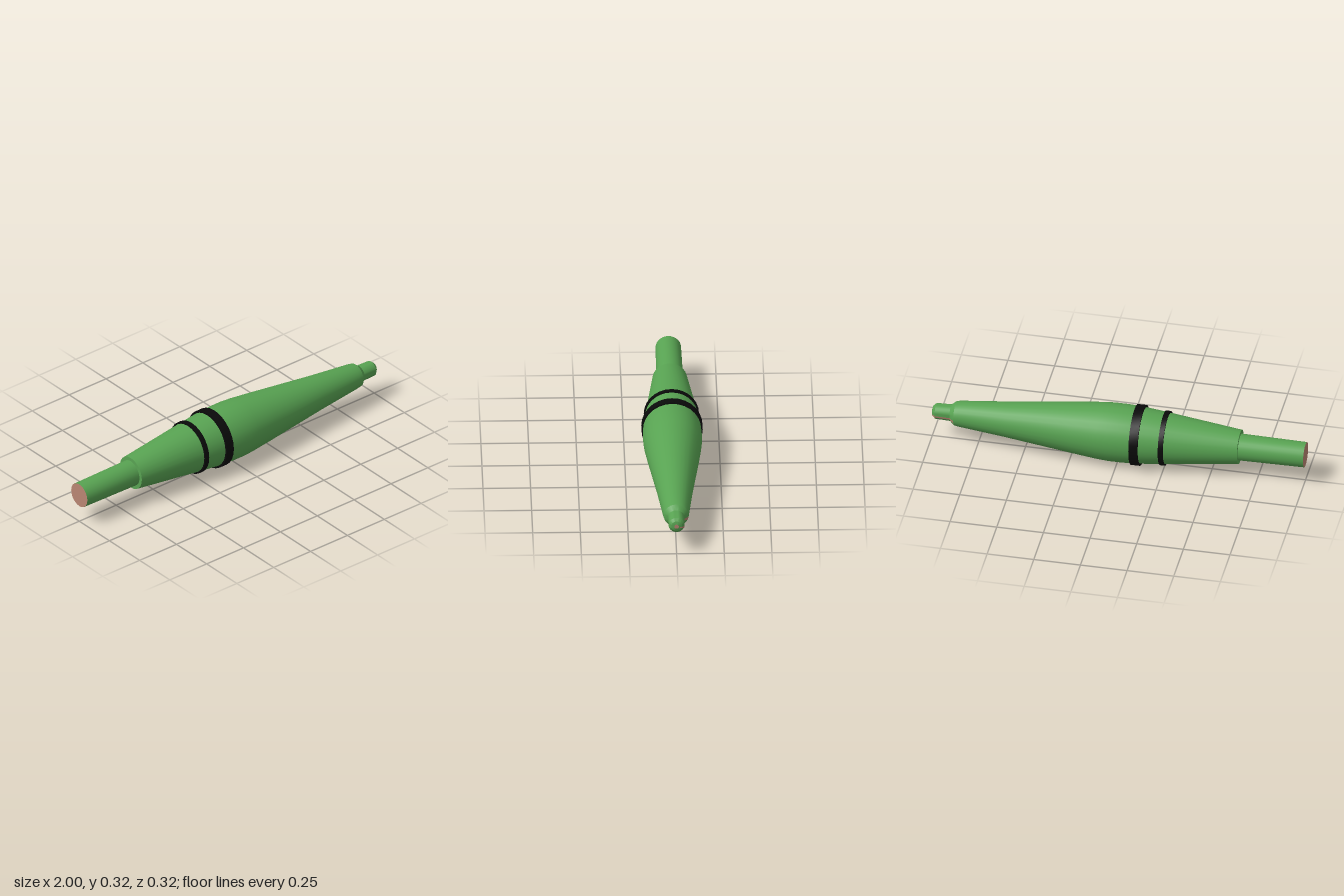
import * as THREE from 'three';
import { toCreasedNormals } from 'three/addons/utils/BufferGeometryUtils.js';

const SIDES = 28;
const AXIS_Y = 0.163;

const paint = (color) => new THREE.MeshStandardMaterial({ color });

export function createModel() {
  const group = new THREE.Group();
  const green = paint(0x58a352);
  const black = paint(0x0a0a0a);
  const copper = paint(0xb98572);

  // Turns a profile of [x, radius] pairs around the long axis
  function turned(name, profile, material, start = 0, arc = Math.PI * 2, sides = SIDES) {
    const points = profile.map(([x, r]) => new THREE.Vector2(r, x));
    const geometry = toCreasedNormals(new THREE.LatheGeometry(points, sides, start, arc), 0.5);
    geometry.rotateZ(-Math.PI / 2);
    const mesh = new THREE.Mesh(geometry, material);
    mesh.name = name;
    mesh.position.y = AXIS_Y;
    group.add(mesh);
  }

  // Straight tail tube with its end disc
  turned('tailTube', [[-1, 0.067], [-0.65, 0.071]], green);
  turned('tailEnd', [[-1, 0], [-1, 0.067]], copper);

  // Spindle body with a stepped tail, a tapered front and a narrow nose
  turned('body', [
    [-0.65, 0.07], [-0.65, 0.091], [-0.25, 0.137], [-0.11, 0.152], [-0.03, 0.155], [0.04, 0.155],
    [0.1, 0.151], [0.23, 0.137], [0.6, 0.094], [0.85, 0.069], [0.875, 0.065],
    [0.9, 0.044], [0.98, 0.042], [0.995, 0.028], [1, 0.012],
  ], green);
  turned('noseTip', [[1, 0.012], [1, 0]], copper);

  // Narrow copper streak on one side of the nose
  turned('noseStreak', [[0.875, 0.066], [0.9, 0.045], [0.981, 0.043], [0.996, 0.029], [0.999, 0.018]],
    copper, Math.PI - 0.4, 0.28, 3);

  // Two raised bands
  for (const [name, x, width, inner, outer] of [
    ['rearBand', -0.25, 0.026, 0.13, 0.145],
    ['frontBand', -0.107, 0.048, 0.145, 0.161],
  ]) {
    const a = x - width / 2, b = x + width / 2;
    turned(name, [[a, inner], [a, outer], [b, outer], [b, inner]], black);
  }

  return group;
}
